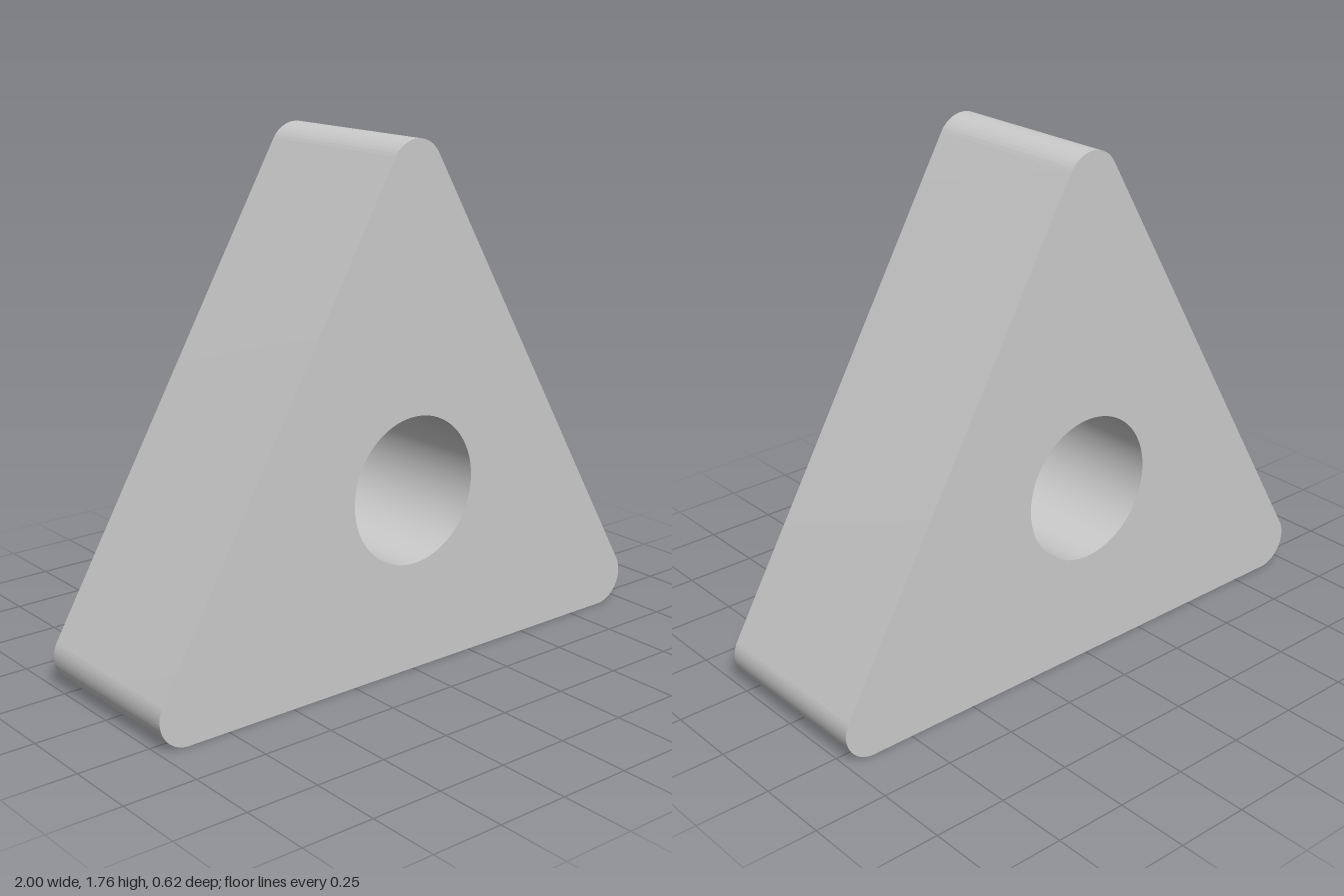
import * as THREE from 'three';
import { toCreasedNormals } from 'three/addons/utils/BufferGeometryUtils.js';

export function createModel() {
  const model = new THREE.Group();
  model.name = 'triangularBlock';

  const cornerRadius = 0.104, holeRadius = 0.25, depth = 0.62;
  const half = 1 - cornerRadius; // half the distance between the lower corner centres
  const centreY = cornerRadius + half / Math.sqrt(3);
  const reach = 2 * half / Math.sqrt(3); // centre of the triangle to a corner centre

  // Equilateral outline: one 120 degree arc per rounded corner
  const outline = new THREE.Shape();
  for (let i = 0; i < 3; i++) {
    const a = Math.PI / 2 + i * Math.PI * 2 / 3;
    outline.absarc(reach * Math.cos(a), centreY + reach * Math.sin(a), cornerRadius,
      a - Math.PI / 3, a + Math.PI / 3, false);
  }
  outline.closePath();

  // Round through-hole
  const hole = new THREE.Path();
  hole.absarc(0, centreY, holeRadius, 0, Math.PI * 2, true);
  outline.holes.push(hole);

  const solid = new THREE.ExtrudeGeometry(outline, { depth, bevelEnabled: false, curveSegments: 64 });
  solid.translate(0, 0, -depth / 2);

  const block = new THREE.Mesh(
    toCreasedNormals(solid, 0.6),
    new THREE.MeshStandardMaterial({ color: 0xcccccc })
  );
  block.name = 'roundedTriangleWithHole';
  model.add(block);
  return model;
}
